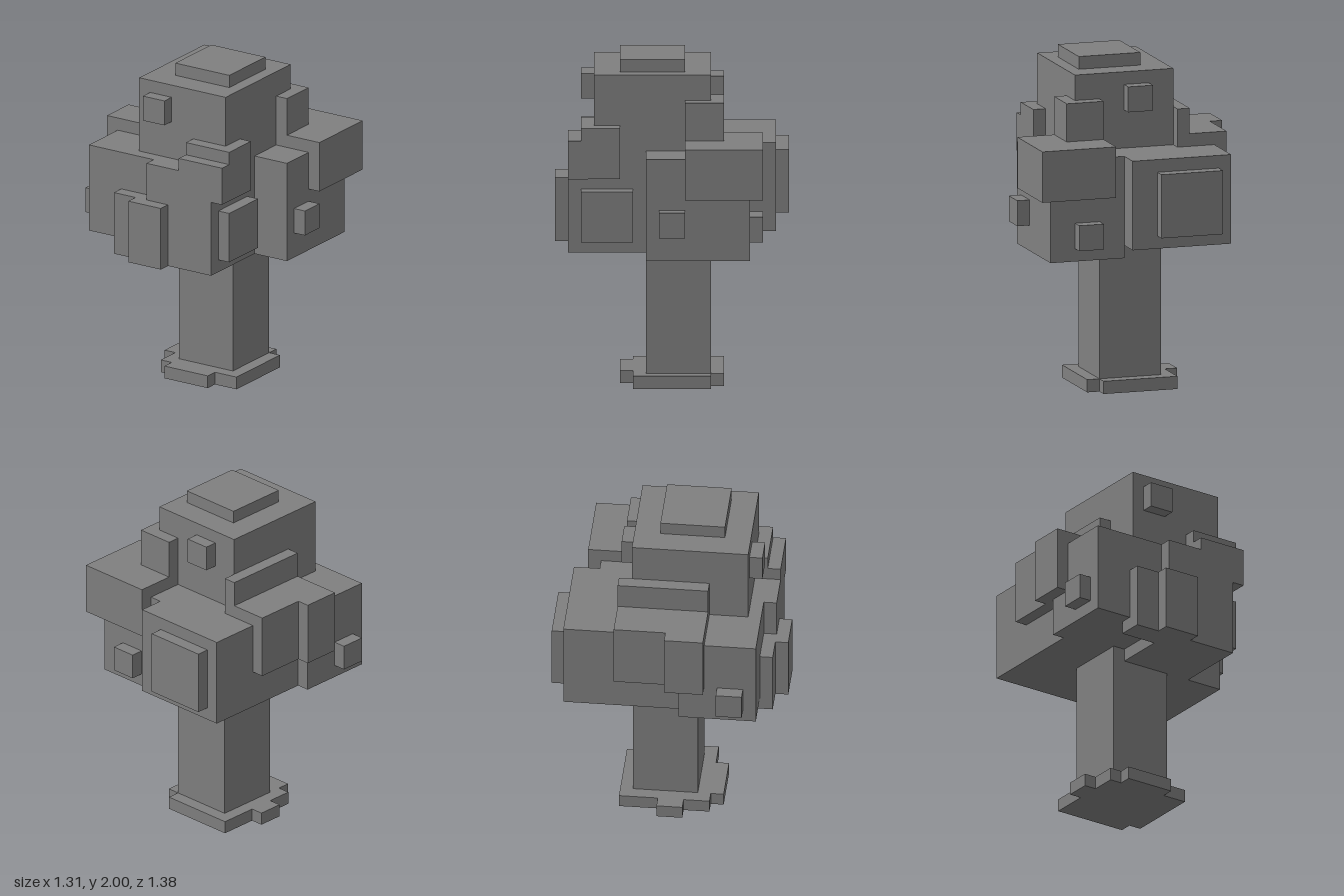
import * as THREE from 'three';

const U = 2 / 26; // one block unit

// name, x range, y range, z range (in block units)
const PARTS = {
  base: [
    ['baseSlab', -3.5, 3.5, 0, 1, -3, 3],
    ['rootFront', -2.5, 1.5, 0, 1, 2, 4],
    ['rootBack', -3.5, 2.5, 0, 1, -4, -2],
    ['rootRight', -4.5, -3, 0, 1, -1, 1],
  ],
  trunk: [['trunkPost', -2.5, 2.5, 0, 13, -3, 2]],
  crown: [
    ['crownTop', -3.5, 4.5, 15, 25, -3, 6],
    ['crownCap', -1.5, 3.5, 25, 26, -1, 4],
    ['crownFrontKnob', -2.5, -0.5, 22, 24, 6, 7],
    ['crownBackKnob', -1.5, 0.5, 22, 24, -4, -3],
    ['crownCornerClump', 2.5, 5.5, 18, 23, -4, -1],
    ['crownSideClump', -4.5, -3.5, 18, 22, -4, 3],
  ],
  leftFoliage: [
    ['leftMass', 1.5, 7.5, 11, 19, -6, 2],
    ['leftUpperBlock', 2.5, 8.5, 16, 20, -7, -1],
    ['leftKnob', 7.5, 8.5, 13, 15, -1, 1],
    ['leftBackKnob', 3.5, 5.5, 12, 14, -7, -6],
  ],
  frontFoliage: [
    ['frontMass', -1.5, 4.5, 11, 19, 0, 8],
    ['frontUpperBlock', 1.5, 5.5, 17, 21, 4, 7],
    ['frontUpperLip', 1.5, 5.5, 17, 20, 4, 8],
    ['frontSidePlate', 4.5, 5.5, 12, 16, 3, 7],
    ['frontPlate', -2.5, 0.5, 11, 16, 7, 9],
    ['frontPlateStep', -4.5, -1.5, 11, 16, 6, 8],
  ],
  rightFoliage: [
    ['rightMass', -7.5, -1.5, 12, 19, 1, 7],
    ['rightUpperBlock', -7.5, -3.5, 15, 20, -4, 3],
    ['rightUpperStep', -8.5, -3.5, 15, 20, 0, 3],
    ['rightKnob', -8.5, -7.5, 13, 15, 4, 6],
  ],
  backFoliage: [
    ['backMass', -6.5, 1.5, 12, 19, -8, 1],
    ['backPlate', -5.5, -0.5, 13, 18, -9, -8],
  ],
};

export function createModel() {
  const model = new THREE.Group();
  model.name = 'blockTree';
  const material = new THREE.MeshStandardMaterial({ color: 0x808080, flatShading: true });

  for (const [groupName, boxes] of Object.entries(PARTS)) {
    const group = new THREE.Group();
    group.name = groupName;
    for (const [name, x0, x1, y0, y1, z0, z1] of boxes) {
      const geometry = new THREE.BoxGeometry((x1 - x0) * U, (y1 - y0) * U, (z1 - z0) * U);
      const mesh = new THREE.Mesh(geometry, material);
      mesh.name = name;
      mesh.position.set(x0 + x1, y0 + y1, z0 + z1).multiplyScalar(U / 2);
      group.add(mesh);
    }
    model.add(group);
  }
  return model;
}
